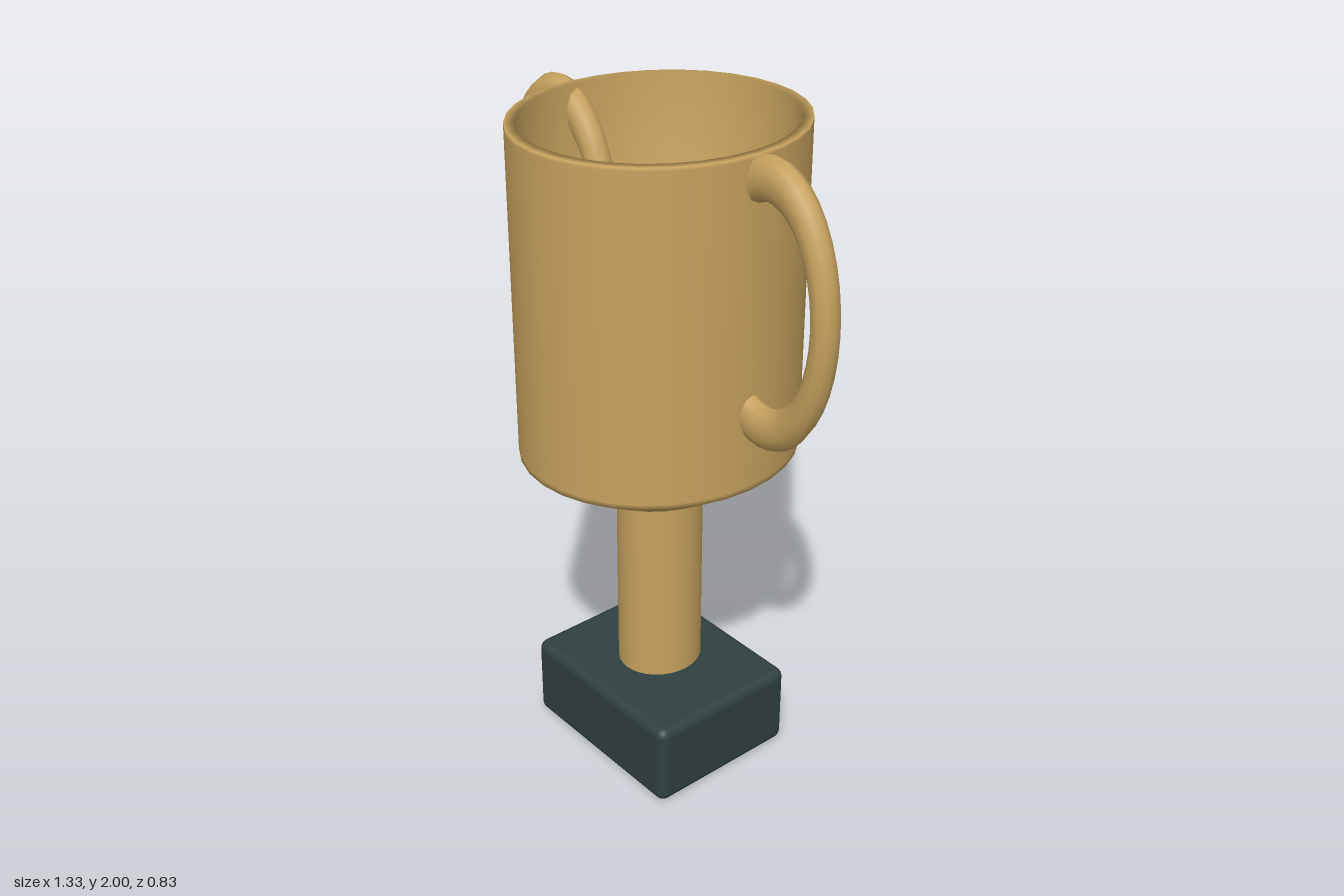
import * as THREE from 'three';
import { RoundedBoxGeometry } from 'three/addons/geometries/RoundedBoxGeometry.js';

export function createModel() {
  const group = new THREE.Group();
  const gold = new THREE.MeshStandardMaterial({ color: 0xc6a25e });
  gold.name = 'gold';
  const darkSlate = new THREE.MeshStandardMaterial({ color: 0x304040 });
  darkSlate.name = 'dark slate';

  const add = (name, geometry, material, x = 0, y = 0, z = 0) => {
    const mesh = new THREE.Mesh(geometry, material);
    mesh.name = name;
    mesh.position.set(x, y, z);
    group.add(mesh);
    return mesh;
  };

  // Plinth
  add('base', new RoundedBoxGeometry(0.61, 0.265, 0.495, 4, 0.03), darkSlate, 0, 0.1325, 0);

  // Stem, floating just above the plinth and slightly deeper than wide
  const stem = add('stem', new THREE.CylinderGeometry(0.12, 0.12, 0.655, 32), gold, 0, 0.6075, 0);
  stem.scale.z = 1.09;

  // Hollow oval cup: underside, chamfer, outer wall, rim, inner wall, floor
  const profile = [
    [0, 0.93], [0.225, 0.93], [0.38, 1.035], [0.38, 1.05], [0.38, 1.98],
    [0.38, 1.99], [0.353, 1.99], [0.33, 1.05], [0, 1.05],
  ].map(([r, y]) => new THREE.Vector2(r, y));
  const cup = add('cup', new THREE.LatheGeometry(profile, 32), gold);
  cup.scale.z = 1.09;

  // Oval ring handles, passing through the cup wall
  const ring = new THREE.TorusGeometry(1, 0.18, 10, 40);
  ring.scale(0.199, 0.343, 0.225);
  for (const side of [1, -1]) {
    add(side > 0 ? 'leftHandle' : 'rightHandle', ring, gold, side * 0.43, 1.595, 0);
  }
  return group;
}
